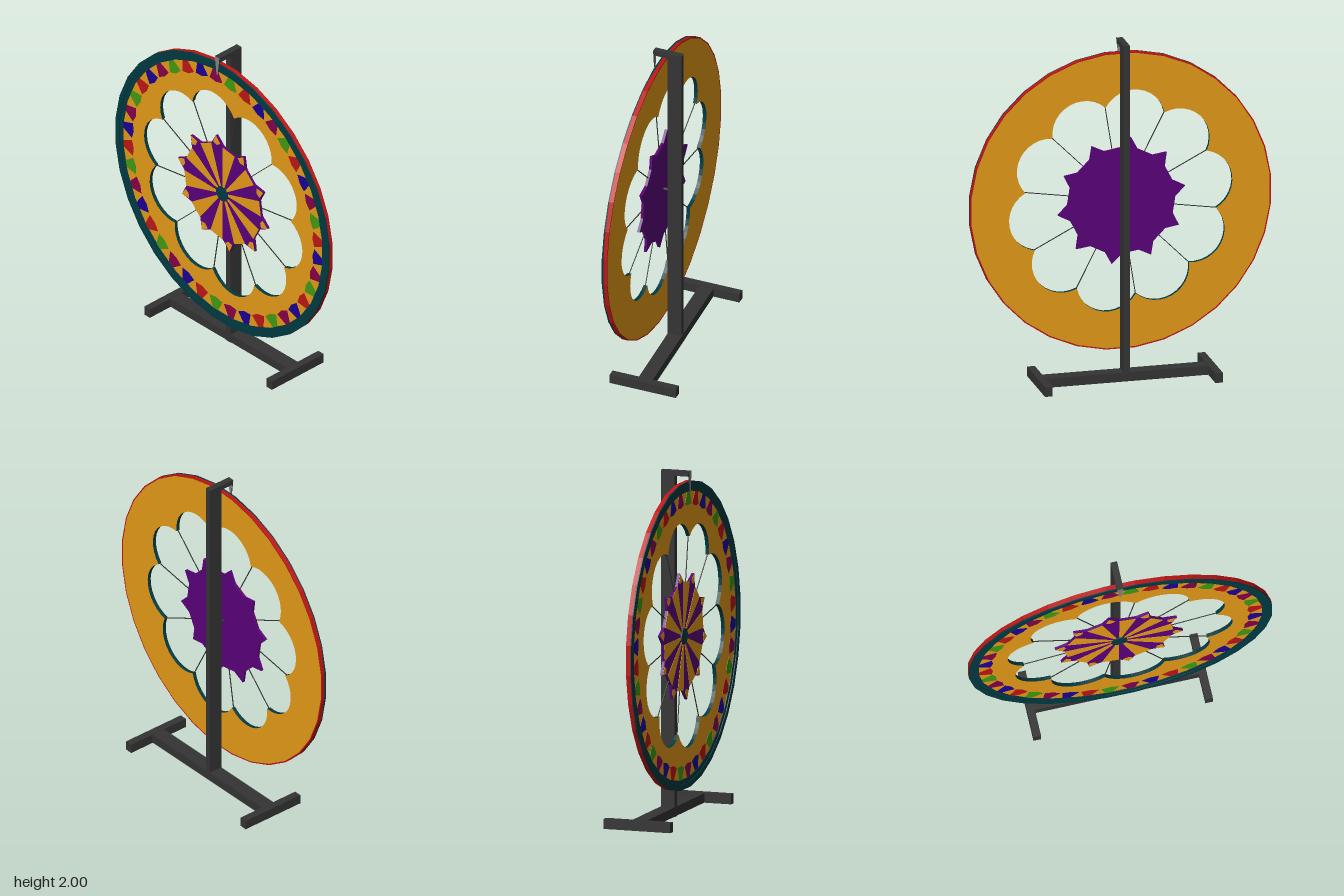
import * as THREE from 'three';

const mat = (name, color) => {
  const m = new THREE.MeshStandardMaterial({ color });
  m.name = name;
  return m;
};

// Point at radius r, angle in degrees clockwise from the top
const pt = (r, deg) => {
  const a = THREE.MathUtils.degToRad(deg);
  return new THREE.Vector2(r * Math.sin(a), r * Math.cos(a));
};

const SIDES = 32;
const polygon = (r) =>
  Array.from({ length: SIDES }, (_, i) => pt(r, ((i + 0.5) * 360) / SIDES));

export function createModel() {
  const yellow = mat('ochre', 0xe69b18);
  const teal = mat('dark teal', 0x003a42);
  const purple = mat('purple', 0x5b007c);
  const red = mat('red', 0xbe1616);
  const blue = mat('blue', 0x1c0096);
  const crimson = mat('crimson', 0x84004a);
  const green = mat('green', 0x429a12);
  const iron = mat('iron', 0x343434);
  const steel = mat('steel', 0x848484);

  const model = new THREE.Group();
  model.name = 'prizeWheel';

  const add = (parent, name, geometry, material, x = 0, y = 0, z = 0) => {
    const mesh = new THREE.Mesh(geometry, material);
    mesh.name = name;
    mesh.position.set(x, y, z);
    parent.add(mesh);
    return mesh;
  };
  const box = (parent, name, w, h, d, material, x, y, z) =>
    add(parent, name, new THREE.BoxGeometry(w, h, d), material, x, y, z);
  // Flat plate cut from an outline, its back at z; outlines run counter-clockwise
  const plate = (parent, name, outline, z, depth, material, hole) => {
    if (THREE.ShapeUtils.isClockWise(outline)) outline.reverse();
    const shape = new THREE.Shape(outline);
    if (hole) shape.holes.push(new THREE.Path(hole));
    const geometry = new THREE.ExtrudeGeometry(shape, { depth, bevelEnabled: false });
    return add(parent, name, geometry, material, 0, 0, z);
  };

  // Stand
  const stand = new THREE.Group();
  stand.name = 'stand';
  model.add(stand);
  const crossbar = box(stand, 'crossbar', 0.97, 0.054, 0.085, iron, -0.006, 0.028, -0.003);
  crossbar.rotation.y = 0.008;
  box(stand, 'rightFoot', 0.045, 0.057, 0.405, iron, -0.509, 0.0285, 0.002);
  box(stand, 'leftFoot', 0.045, 0.057, 0.405, iron, 0.494, 0.0285, -0.006);
  box(stand, 'post', 0.038, 2, 0.084, iron, -0.008, 1, 0);
  box(stand, 'topArm', 0.038, 0.03, 0.085, iron, -0.008, 1.985, 0.082);

  // Tapered pointer hanging in front of the rim
  const pointer = [[-0.019, 2], [0.019, 2], [0.005, 1.88], [-0.005, 1.88]]
    .map(([x, y]) => new THREE.Vector2(x - 0.008, y));
  plate(stand, 'pointer', pointer, 0.1245, 0.006, [steel, iron]);

  // Wheel
  const wheel = new THREE.Group();
  wheel.name = 'wheel';
  wheel.position.y = 1.046;
  model.add(wheel);

  // Scalloped opening made of ten round petals
  const opening = [];
  for (let k = 0; k < 10; k++) {
    const mid = 27 + 36 * k;
    for (let i = 0; i < 12; i++) {
      const t = -70 + (140 * i) / 12;
      opening.push(pt(0.476, mid).add(pt(0.186, mid + t)));
    }
  }
  plate(wheel, 'face', polygon(0.88), 0.068, 0.022, [yellow, teal], opening);
  plate(wheel, 'outerHoop', polygon(0.887), 0.068, 0.026, red, polygon(0.879));
  plate(wheel, 'rimStep', polygon(0.86), 0.09, 0.005, teal, polygon(0.829));
  plate(wheel, 'rimLip', polygon(0.887), 0.09, 0.01, teal, polygon(0.855));

  // Coloured wedges around the rim
  const cycle = [green, red, blue, crimson];
  for (let i = 0; i < 40; i++) {
    const a = 4.5 + 9 * i;
    const outline = [pt(0.757, a - 3.9), pt(0.828, a - 1.4), pt(0.828, a + 1.4),
      pt(0.757, a + 3.9), pt(0.744, a)];
    plate(wheel, 'rimWedge', outline, 0.09, 0.002, cycle[i % 4]);
  }

  // Thin spokes from the star to the petal cusps
  for (let k = 0; k < 10; k++) {
    const a = 9 + 36 * k;
    const p = pt(0.435, a);
    const spoke = box(wheel, 'spoke', 0.0045, 0.29, 0.0045, iron, p.x, p.y, 0.08);
    spoke.rotation.z = -THREE.MathUtils.degToRad(a);
  }

  // Ten-pointed star
  const star = new THREE.Group();
  star.name = 'star';
  star.position.set(-0.006, -0.003, 0);
  wheel.add(star);
  const outline = [];
  for (let k = 0; k < 10; k++) {
    const a = 27.3 + 36 * k;
    outline.push(pt(0.316, a - 9), pt(0.378, a), pt(0.316, a + 9));
  }
  plate(star, 'starDisc', outline, 0.072, 0.016, purple);
  for (let k = 0; k < 10; k++) {
    const a = 9.3 + 36 * k;
    plate(star, 'starStripe', [pt(0.045, a - 9), pt(0.316, a - 9), pt(0.316, a + 9), pt(0.045, a + 9)],
      0.088, 0.002, yellow);
    const b = a + 18;
    plate(star, 'starTip', [pt(0.315, b), pt(0.33, b - 5), pt(0.376, b), pt(0.33, b + 5)],
      0.088, 0.002, yellow);
  }

  // Hub and axle
  const hub = add(star, 'hub', new THREE.CylinderGeometry(0.048, 0.048, 0.012, 10), teal, 0, 0, 0.091);
  hub.rotation.x = Math.PI / 2;
  const axle = add(star, 'axle', new THREE.CylinderGeometry(0.008, 0.008, 0.05, 10), iron, 0, 0, 0.055);
  axle.rotation.x = Math.PI / 2;

  return model;
}
